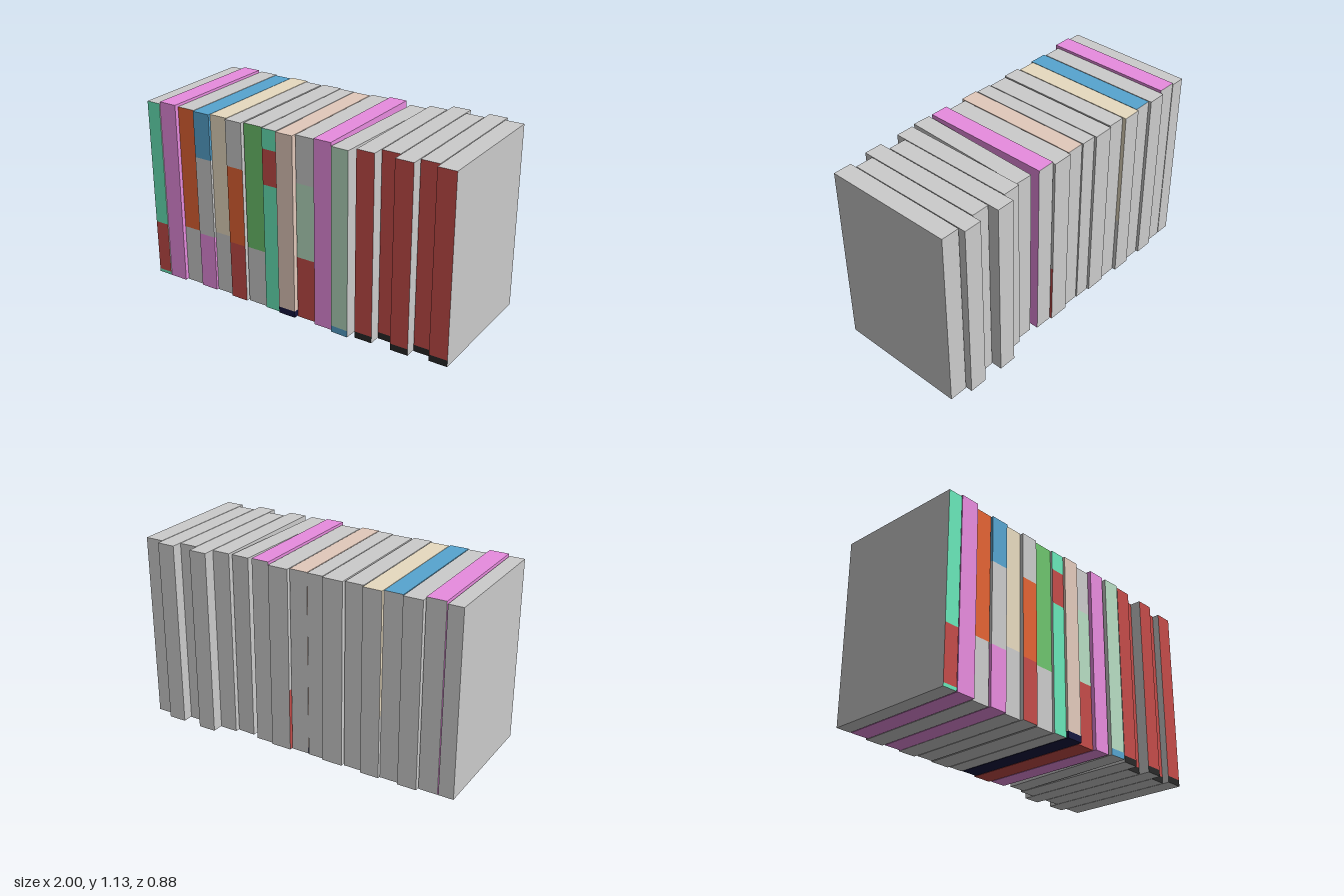
import * as THREE from 'three';

const GREY = 0xcccccc, MINT = 0x69e8ba, RED = 0xc54c49, PINK = 0xe88cdf, ORANGE = 0xe56434;
const BLUE = 0x57a5d0, TAN = 0xe8dbc0, GREEN = 0x6ec56e, BEIGE = 0xe3cabc, SAGE = 0xb8ddc3;
const NAVY = 0x16163f, BLACK = 0x282828;

// Face order inside a BoxGeometry
const RIGHT = 0, LEFT = 1, TOP = 2, BOTTOM = 3, FRONT = 4, BACK = 5;

const materials = new Map();
function material(color) {
  if (!materials.has(color)) materials.set(color, new THREE.MeshStandardMaterial({ color }));
  return materials.get(color);
}

// A box that keeps only the listed faces
function boxFaces(w, h, d, faces) {
  const box = new THREE.BoxGeometry(w, h, d);
  const index = Array.from(box.index.array);
  box.setIndex(faces.flatMap((f) => index.slice(f * 6, f * 6 + 6)));
  box.clearGroups();
  return box.toNonIndexed();
}

// Bands run from the bottom up: [top height, spine colour, true if the colour wraps the covers]
function makeBook({ x, z, bands, yaw = 0 }) {
  const book = new THREE.Group();
  book.name = 'book';
  const w = x[1] - x[0], d = z[1] - z[0];
  let y0 = 0;
  bands.forEach(([y1, color, wraps], i) => {
    const covers = [RIGHT, LEFT];
    if (i === 0) covers.push(BOTTOM);
    if (i === bands.length - 1) covers.push(TOP);
    const parts = [
      ['spineBand', color, wraps ? [FRONT, ...covers] : [FRONT]],
      ['pages', GREY, wraps ? [BACK] : [BACK, ...covers]],
    ];
    for (const [name, c, faces] of parts) {
      const mesh = new THREE.Mesh(boxFaces(w, y1 - y0, d, faces), material(c));
      mesh.name = name;
      mesh.position.y = (y0 + y1) / 2;
      book.add(mesh);
    }
    y0 = y1;
  });
  book.position.set((x[0] + x[1]) / 2, 0, (z[0] + z[1]) / 2);
  book.rotation.y = yaw;
  return book;
}

export function createModel() {
  const model = new THREE.Group();
  model.name = 'bookRow';

  // Varied books
  const books = [
    { x: [-1, -0.91], z: [-0.38, 0.42], bands: [[0.02, MINT], [0.345, RED], [1.12, MINT]] },
    { x: [-0.905, -0.79], z: [-0.38, 0.42], bands: [[1.133, PINK, true]] },
    { x: [-0.785, -0.67], z: [-0.4, 0.4], bands: [[0.36, GREY], [1.12, ORANGE]] },
    { x: [-0.665, -0.553], z: [-0.385, 0.412], bands: [[0.35, PINK, true], [0.84, GREY], [1.12, BLUE, true]] },
    { x: [-0.55, -0.435], z: [-0.4, 0.4], bands: [[0.385, GREY], [1.12, TAN, true]] },
    { x: [-0.43, -0.32], z: [-0.38, 0.418], bands: [[0.36, RED], [0.84, ORANGE], [1.12, GREY]] },
    { x: [-0.31, -0.185], z: [-0.392, 0.405], bands: [[0.355, GREY], [1.12, GREEN]] },
    { x: [-0.18, -0.085], z: [-0.38, 0.415], bands: [[0.785, MINT], [1.0, RED], [1.12, MINT]] },
    { x: [-0.08, 0.03], z: [-0.375, 0.425], bands: [[0.04, NAVY, true], [1.12, BEIGE, true]] },
    { x: [0.035, 0.16], z: [-0.392, 0.4], bands: [[0.385, RED, true], [0.84, SAGE], [1.12, GREY]] },
    { x: [0.165, 0.275], z: [-0.38, 0.42], bands: [[1.133, PINK, true]] },
    // Slightly turned book
    { x: [0.3, 0.41], z: [-0.358, 0.438], bands: [[0.04, BLUE], [1.12, SAGE]], yaw: -0.037 },
  ];

  // Matching set of red volumes, pushed in by different amounts
  [-0.38, -0.445, -0.38, -0.44, -0.4].forEach((back, i) => {
    const left = 0.43 + i * 0.1145;
    books.push({
      x: [left, left + 0.11 + (i === 4 ? 0.002 : 0)],
      z: [back, back + 0.797],
      bands: [[0.04, BLACK], [1.13, RED]],
    });
  });

  books.forEach((b, i) => {
    const book = makeBook(b);
    book.name = `book${i + 1}`;
    model.add(book);
  });
  return model;
}
